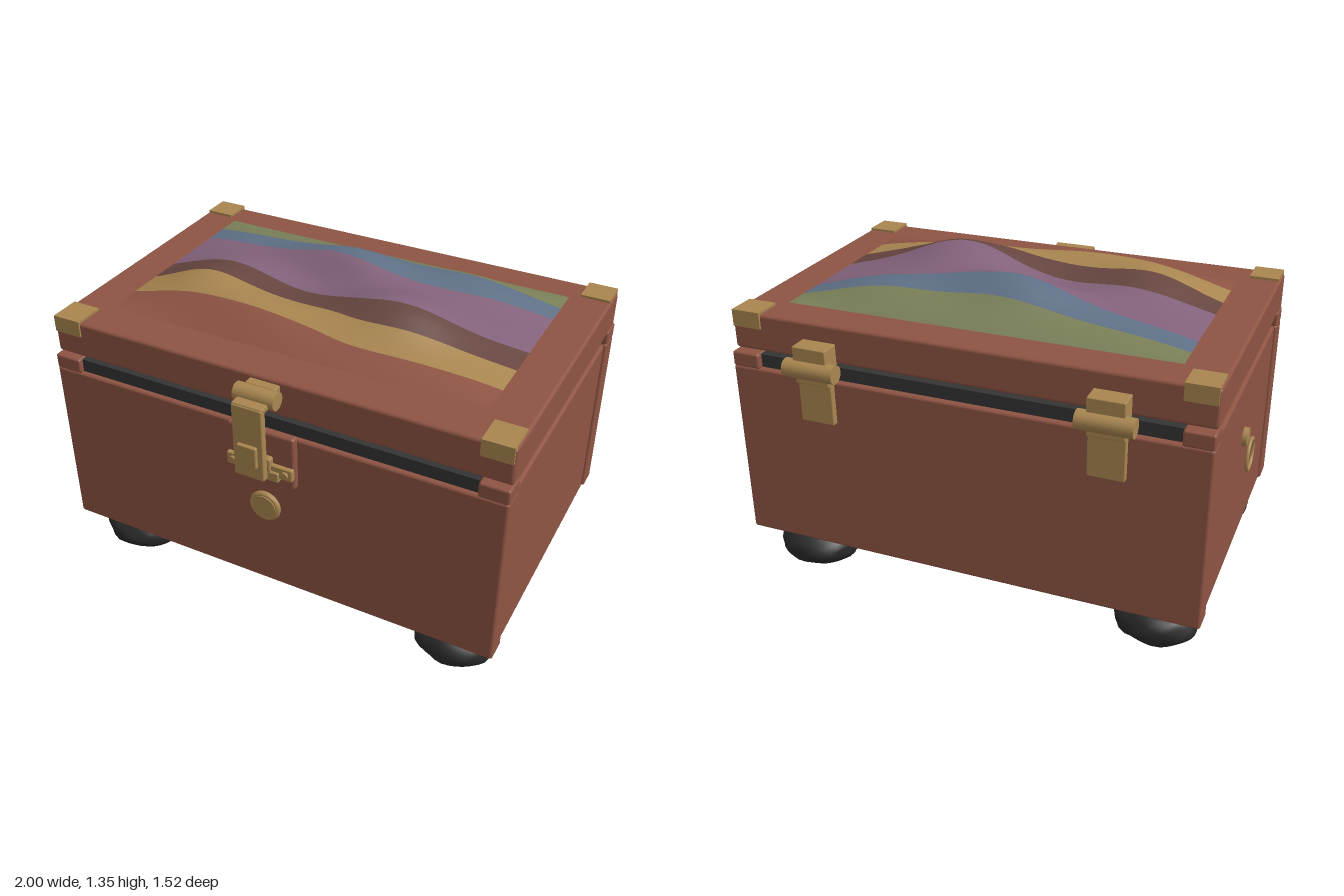
import * as THREE from 'three';
import { mergeVertices } from 'three/addons/utils/BufferGeometryUtils.js';
import { RoundedBoxGeometry } from 'three/addons/geometries/RoundedBoxGeometry.js';

const mat = (name, color, extra = {}) => {
  const m = new THREE.MeshStandardMaterial({ color, ...extra });
  m.name = name;
  return m;
};

export function createModel() {
  const root = new THREE.Group();
  root.name = 'chest';
  const two = { side: THREE.DoubleSide };
  const wood = mat('red wood', 0x8e5443);
  const brass = mat('brass', 0xa98650);
  const lining = mat('dark lining', 0x343434);
  const black = mat('black feet', 0x2a2a2a);
  const red = mat('red wood cloth', 0x8e5443, two);
  const gold = mat('gold cloth', 0xa98650, two);
  const brown = mat('brown cloth', 0x674640, two);
  const purple = mat('purple cloth', 0x83627b, two);
  const blue = mat('blue cloth', 0x5f7086, two);
  const green = mat('green cloth', 0x7a8058, two);

  const add = (name, geo, m, x = 0, y = 0, z = 0, parent = root) => {
    const mesh = new THREE.Mesh(geo, m);
    mesh.name = name;
    mesh.position.set(x, y, z);
    parent.add(mesh);
    return mesh;
  };
  // Box given by its extents; r rounds the edges
  const box = (name, m, x0, x1, y0, y1, z0, z1, r = 0, parent = root) => {
    const s = [x1 - x0, y1 - y0, z1 - z0];
    const geo = r ? new RoundedBoxGeometry(...s, 2, r) : new THREE.BoxGeometry(...s);
    return add(name, geo, m, (x0 + x1) / 2, (y0 + y1) / 2, (z0 + z1) / 2, parent);
  };
  const barrel = (name, x, y, z, r, len, parent = root) =>
    add(name, new THREE.CylinderGeometry(r, r, len, 24).rotateZ(Math.PI / 2), brass, x, y, z, parent);
  const disc = (name, m, x, y, z, r, depth, parent = root) =>
    add(name, new THREE.CylinderGeometry(r, r, depth, 32).rotateX(Math.PI / 2), m, x, y, z, parent);

  const L = -0.97, R = 1.0, CX = 0.015;

  // Body
  box('bottomPlate', wood, -0.88, 0.92, 0.19, 0.24, -0.58, 0.53);
  box('sidePanels', wood, L + 0.01, R - 0.01, 0.22, 0.99, -0.579, 0.529, 0.012);
  box('frontPanel', wood, L, R, 0.22, 0.99, 0.53, 0.63, 0.012);
  box('backPanel', wood, L, R, 0.22, 0.99, -0.68, -0.58, 0.012);
  box('liningBand', lining, L + 0.03, R - 0.03, 0.98, 1.045, -0.655, 0.61);
  for (const [x0, x1] of [[L, -0.85], [0.88, R]])
    for (const [z0, z1] of [[-0.68, -0.58], [0.53, 0.63]])
      box('cornerBlock', wood, x0, x1, 0.985, 1.05, z0, z1, 0.01);

  // Lid with brass corners
  box('lid', wood, L, R, 1.055, 1.212, -0.65, 0.605, 0.014);
  for (const [x0, x1] of [[L + 0.007, -0.84], [0.87, R - 0.007]]) {
    box('lidCornerTop', brass, x0, x1, 1.2, 1.222, 0.48, 0.612);
    box('lidCornerFront', brass, x0, x1, 1.152, 1.21, 0.59, 0.612);
    box('lidCornerTop', brass, x0, x1, 1.2, 1.222, -0.658, -0.535);
    box('lidCornerBack', brass, x0, x1, 1.152, 1.21, -0.658, -0.635);
  }

  // Wavy cloth: humps given as x, z, height, x spread, z spread
  const X0 = -0.8, X1 = 0.83, Z0 = -0.5, Z1 = 0.44;
  const humps = [
    [0.33, 0.08, 0.1, 0.2, 0.13], [-0.04, -0.22, 0.095, 0.2, 0.11], [-0.55, 0.12, 0.07, 0.17, 0.14],
    [-0.2, 0.29, 0.05, 0.22, 0.09], [0.5, -0.33, 0.05, 0.2, 0.1], [-0.1, -0.06, -0.03, 0.15, 0.07],
  ];
  const height = (x, z) => {
    const u = (2 * x - X0 - X1) / (X1 - X0), v = (2 * z - Z0 - Z1) / (Z1 - Z0);
    let h = 0.045;
    for (const [hx, hz, a, sx, sz] of humps)
      h += a * Math.exp(-(((x - hx) / sx) ** 2 + ((z - hz) / sz) ** 2) / 2);
    return 1.217 + h * (1 - u ** 4) * (1 - v ** 6);
  };
  // Stripe edges follow smooth curves across the lid
  const edge = (zs) => {
    const xs = [-0.8, -0.5, 0, 0.3, 0.83];
    const c = new THREE.SplineCurve(xs.map((x, i) => new THREE.Vector2(x, zs[i])));
    return Array.from({ length: 57 }, (_, i) => c.getPoint(i / 56));
  };
  const edges = [
    [Z0, Z0, Z0, Z0, Z0],
    [-0.395, -0.37, -0.34, -0.352, -0.39],
    [-0.29, -0.255, -0.185, -0.18, -0.29],
    [0, -0.02, 0.06, 0.1, 0],
    [0.135, 0.127, 0.18, 0.22, 0.14],
    [0.285, 0.29, 0.31, 0.335, 0.29],
    [Z1, Z1, Z1, Z1, Z1],
  ].map(edge);
  const cloth = new THREE.Group();
  cloth.name = 'cloth';
  root.add(cloth);
  [green, blue, purple, brown, gold, red].forEach((m, k) => {
    const geo = new THREE.PlaneGeometry(1, 1, 56, 10);
    const p = geo.attributes.position, n = geo.attributes.normal, e = 0.004;
    for (let i = 0; i < p.count; i++) {
      const col = i % 57, t = Math.floor(i / 57) / 10;
      const a = edges[k][col], b = edges[k + 1][col];
      const x = THREE.MathUtils.lerp(a.x, b.x, t), z = THREE.MathUtils.lerp(a.y, b.y, t);
      p.setXYZ(i, x, height(x, z), z);
      const d = new THREE.Vector3(height(x - e, z) - height(x + e, z), 2 * e,
        height(x, z - e) - height(x, z + e)).normalize();
      n.setXYZ(i, d.x, d.y, d.z);
    }
    add('clothStripe', geo, m, 0, 0, 0, cloth);
  });

  // Latch
  const latch = new THREE.Group();
  latch.name = 'latch';
  root.add(latch);
  box('latchBackplate', wood, -0.132, 0.162, 0.765, 1.005, 0.62, 0.658, 0.012, latch);
  box('latchBase', brass, -0.13, 0.16, 0.815, 0.87, 0.65, 0.675, 0.006, latch);
  box('latchFoot', brass, -0.075, 0.105, 0.8, 0.845, 0.65, 0.685, 0.006, latch);
  box('latchCatch', brass, -0.04, 0.07, 0.84, 0.9, 0.65, 0.685, 0.006, latch);
  box('hasp', brass, -0.05, 0.08, 0.84, 1.16, 0.715, 0.745, 0.006, latch);
  box('haspTop', brass, -0.05, 0.08, 1.14, 1.165, 0.67, 0.74, 0.005, latch);
  box('haspTab', brass, -0.027, 0.057, 0.9, 0.995, 0.74, 0.76, 0.006, latch);
  box('lidStrap', brass, -0.05, 0.08, 1.13, 1.195, 0.6, 0.64, 0.005, latch);
  barrel('latchBarrel', CX, 1.165, 0.663, 0.036, 0.175, latch);
  for (const s of [-1, 1]) disc('latchScrew', brass, CX + s * 0.115, 0.843, 0.675, 0.015, 0.02, latch);

  // Round front button
  const rim = new THREE.TorusGeometry(0.057, 0.012, 10, 32);
  add('buttonRim', rim, brass, CX, 0.627, 0.64);
  disc('button', brass, CX, 0.627, 0.64, 0.052, 0.03);

  // Ring pull on one side
  add('ringMount', new THREE.CylinderGeometry(0.04, 0.04, 0.025, 24).rotateZ(Math.PI / 2),
    brass, -0.968, 0.722, -0.03);
  add('ringPull', new THREE.TorusGeometry(0.066, 0.008, 10, 36).rotateY(Math.PI / 2),
    brass, -0.992, 0.648, -0.03);

  // Back hinges
  for (const x of [-0.585, 0.61]) {
    const hinge = new THREE.Group();
    hinge.name = 'hinge';
    root.add(hinge);
    box('hingeLidBlock', brass, x - 0.073, x + 0.073, 1.05, 1.14, -0.73, -0.64, 0.005, hinge);
    box('hingePlate', brass, x - 0.073, x + 0.073, 0.81, 1.01, -0.705, -0.67, 0.005, hinge);
    box('hingeNeck', brass, x - 0.073, x + 0.073, 0.98, 1.04, -0.72, -0.685, 0.005, hinge);
    barrel('hingeBarrel', x, 1.046, -0.722, 0.038, 0.22, hinge);
  }

  // Lumpy rounded feet
  const footGeo = (seed) => {
    let g = new THREE.IcosahedronGeometry(1, 5);
    g.deleteAttribute('uv');
    g.deleteAttribute('normal');
    g = mergeVertices(g, 1e-4);
    const p = g.attributes.position, v = new THREE.Vector3();
    for (let i = 0; i < p.count; i++) {
      v.fromBufferAttribute(p, i);
      const bump = Math.sin(v.x * 6 + seed) * Math.sin(v.y * 7 + seed * 2) + Math.sin(v.z * 8 + v.x * 5 + seed * 3);
      v.multiplyScalar(1 + 0.028 * bump);
      p.setXYZ(i, v.x * 0.174, Math.max(v.y * 0.094, -0.098), v.z * 0.146);
    }
    g.computeVertexNormals();
    return g;
  };
  [[-0.76, 0.455], [0.785, 0.455], [-0.76, -0.505], [0.785, -0.505]].forEach(([x, z], i) =>
    add('foot', footGeo(i + 1), black, x, i % 2 ? 0.1 : 0.107, z));

  return root;
}
